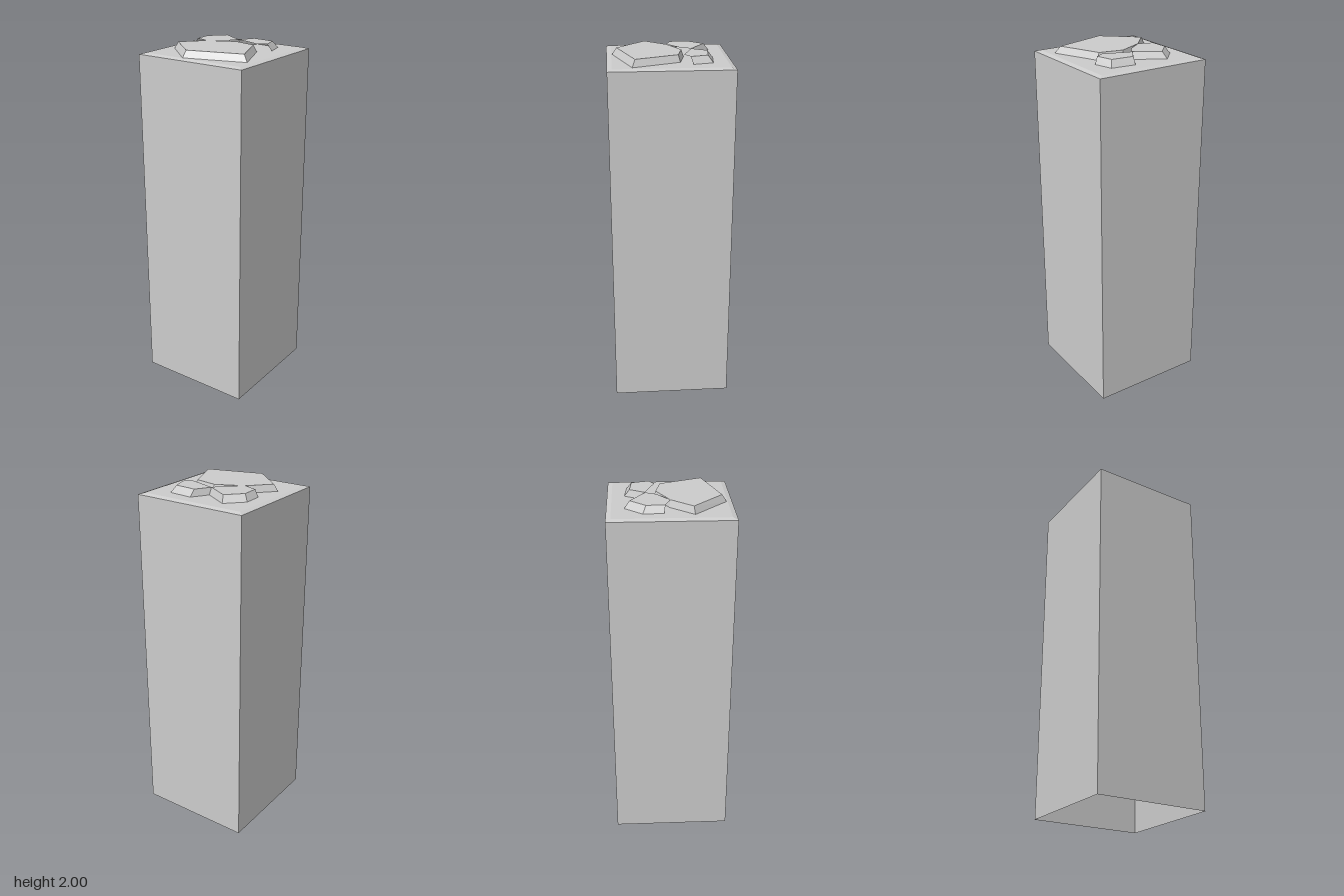
import * as THREE from 'three';

const material = new THREE.MeshStandardMaterial({ color: 0xcccccc, flatShading: true, side: THREE.DoubleSide });

// Band of quads between two outlines of [x, z] points (clockwise seen from above)
function band(name, lower, y0, upper, y1, closed = true) {
  const positions = [];
  const count = closed ? lower.length : lower.length - 1;
  for (let i = 0; i < count; i++) {
    const j = (i + 1) % lower.length;
    const a = [lower[i][0], y0, lower[i][1]];
    const b = [lower[j][0], y0, lower[j][1]];
    const c = [upper[j][0], y1, upper[j][1]];
    const d = [upper[i][0], y1, upper[i][1]];
    positions.push(...a, ...c, ...b, ...a, ...d, ...c);
  }
  const geometry = new THREE.BufferGeometry();
  geometry.setAttribute('position', new THREE.Float32BufferAttribute(positions, 3));
  geometry.computeVertexNormals();
  const mesh = new THREE.Mesh(geometry, material);
  mesh.name = name;
  return mesh;
}

// Flat horizontal face over an outline, facing up
function cap(name, outline, y) {
  const shape = new THREE.Shape(outline.map(([x, z]) => new THREE.Vector2(x, -z)));
  const geometry = new THREE.ShapeGeometry(shape).rotateX(-Math.PI / 2).translate(0, y, 0);
  const mesh = new THREE.Mesh(geometry, material);
  mesh.name = name;
  return mesh;
}

const square = (h) => [[-h, -h], [h, -h], [h, h], [-h, h]];

export function createModel() {
  const model = new THREE.Group();
  model.name = 'stonePillar';
  const shoulderY = 1.955, deckY = 1.963, stoneY = 2;

  // Hollow pillar, open underneath, with a shallow bevel round the top
  model.add(
    band('pillarWalls', square(0.333), 0, square(0.333), shoulderY),
    band('topBevel', square(0.333), shoulderY, square(0.307), deckY),
    cap('pillarTop', square(0.307), deckY)
  );

  // Raised paving stones: sloped rim from foot to edge; extra points finish
  // the top of the stones whose inner sides are cut open
  const stones = [
    {
      name: 'largeStone', closed: true,
      foot: [[0.025, -0.085], [0.17, -0.055], [0.28, 0.203], [-0.06, 0.302], [-0.258, 0.122], [-0.143, -0.005]],
      edge: [[0.021, -0.072], [0.153, -0.045], [0.251, 0.187], [-0.055, 0.277], [-0.235, 0.116], [-0.13, 0]],
      inner: []
    },
    {
      name: 'backRightStone', closed: false,
      foot: [[-0.235, -0.035], [-0.24, -0.145], [-0.15, -0.24], [-0.001, -0.148]],
      edge: [[-0.21, -0.028], [-0.215, -0.128], [-0.136, -0.211], [-0.001, -0.128]],
      inner: [[-0.032, -0.07], [-0.08, -0.036], [-0.13, 0]]
    },
    {
      name: 'backLeftStone', closed: false,
      foot: [[-0.001, -0.148], [0.055, -0.24], [0.196, -0.227], [0.225, -0.119]],
      edge: [[-0.001, -0.128], [0.05, -0.211], [0.176, -0.2], [0.203, -0.105]],
      inner: [[0.155, -0.075]]
    }
  ];
  for (const { name, closed, foot, edge, inner } of stones) {
    const stone = new THREE.Group();
    stone.name = name;
    stone.add(
      band(name + 'Rim', foot, deckY - 0.001, edge, stoneY, closed),
      cap(name + 'Top', [...edge, ...inner], stoneY)
    );
    model.add(stone);
  }
  return model;
}
